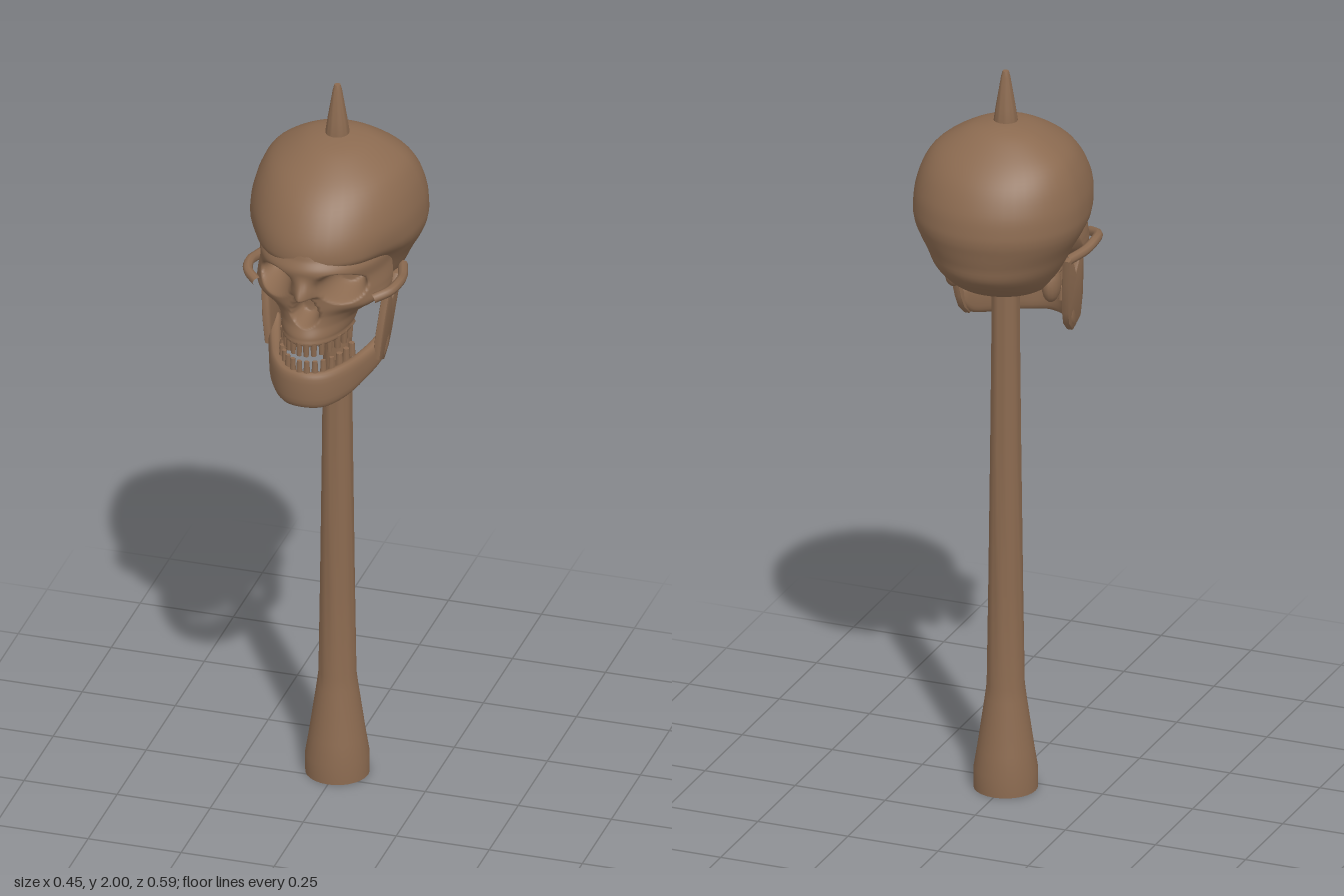
import * as THREE from 'three';
import { mergeVertices, toCreasedNormals } from 'three/addons/utils/BufferGeometryUtils.js';
import { ParametricGeometry } from 'three/addons/geometries/ParametricGeometry.js';

const bone = new THREE.MeshStandardMaterial({ color: 0x8b6a50 });
bone.name = 'brownBone';

function add(parent, name, geometry) {
  const mesh = new THREE.Mesh(geometry, bone);
  mesh.name = name;
  parent.add(mesh);
  return mesh;
}

// Smooth interpolation through the rows of a small table, t from 0 to 1
function sample(rows, t) {
  const s = t * (rows.length - 1);
  const i = Math.min(Math.floor(s), rows.length - 2);
  const f = s - i;
  const row = k => rows[Math.max(0, Math.min(rows.length - 1, k))];
  return row(i).map((b, c) => {
    const a = row(i - 1)[c], d = row(i + 1)[c], e = row(i + 2)[c];
    return b + 0.5 * f * (d - a + f * (2 * a - 5 * b + 4 * d - e + f * (3 * (b - d) + e - a)));
  });
}

function smoothSurface(fn, slices, stacks) {
  const g = new ParametricGeometry(fn, slices, stacks);
  g.deleteAttribute('uv');
  g.deleteAttribute('normal');
  const merged = mergeVertices(g, 1e-5);
  merged.computeVertexNormals();
  return merged;
}

// Stacked horizontal sections: [y, back z, front z, half width, z of widest point]
function loft(rows, slices, stacks, shape) {
  return smoothSurface((u, v, p) => {
    const [y, zb, zf, hw, zc] = sample(rows, v);
    const a = (u % 1) * Math.PI * 2, c = Math.cos(a);
    p.set(hw * Math.sin(a), y, zc + c * (c > 0 ? zf - zc : zc - zb));
    shape(p, c);
  }, slices, stacks);
}

const bell = d => Math.exp(-d * d);
const step = THREE.MathUtils.smoothstep;

function lathe(points) {
  const g = new THREE.LatheGeometry(points.map(([r, y]) => new THREE.Vector2(r, y)), 28);
  return toCreasedNormals(g, 0.6);
}

const CRANIUM = [
  [1.41, -0.06, -0.06, 0, -0.06],
  [1.415, -0.13, 0.03, 0.08, -0.06],
  [1.43, -0.19, 0.07, 0.125, -0.07],
  [1.49, -0.265, 0.09, 0.165, -0.08],
  [1.54, -0.282, 0.12, 0.19, -0.08],
  [1.58, -0.292, 0.165, 0.212, -0.08],
  [1.61, -0.298, 0.235, 0.223, -0.08],
  [1.64, -0.297, 0.245, 0.226, -0.08],
  [1.69, -0.286, 0.228, 0.222, -0.08],
  [1.75, -0.255, 0.187, 0.204, -0.08],
  [1.80, -0.208, 0.13, 0.17, -0.075],
  [1.845, -0.145, 0.05, 0.1, -0.07],
  [1.862, -0.1, -0.02, 0.04, -0.065],
  [1.865, -0.06, -0.06, 0, -0.06],
];

const FACE = [
  [1.388, 0.15, 0.15, 0, 0.15],
  [1.39, 0.08, 0.25, 0.084, 0.1],
  [1.41, 0.08, 0.258, 0.092, 0.1],
  [1.44, 0.06, 0.245, 0.105, 0.09],
  [1.465, 0.05, 0.238, 0.14, 0.07],
  [1.49, 0.03, 0.238, 0.172, 0.06],
  [1.52, 0.02, 0.24, 0.176, 0.04],
  [1.56, 0, 0.245, 0.17, 0.03],
  [1.6, 0, 0.262, 0.168, 0.03],
  [1.63, 0, 0.25, 0.145, 0.03],
  [1.67, 0, 0.22, 0.1, 0.03],
  [1.68, 0.1, 0.1, 0, 0.1],
];

// Lower jaw, chin to angle: [x, lower y, upper y, z]
const JAW = [
  [0, 1.215, 1.315, 0.253],
  [0.05, 1.215, 1.315, 0.236],
  [0.09, 1.226, 1.32, 0.185],
  [0.115, 1.242, 1.322, 0.12],
  [0.138, 1.265, 1.335, 0.05],
  [0.148, 1.295, 1.36, 0.01],
];

// Outline of the jaw's rising branch: [z, y]
const RAMUS = [
  [0.085, 1.29], [0.085, 1.36], [0.07, 1.43], [0.058, 1.485], [0.042, 1.48], [0.02, 1.435],
  [-0.015, 1.49], [-0.04, 1.49], [-0.026, 1.42], [-0.005, 1.33], [0.01, 1.295], [0.04, 1.268],
];

function jawBody() {
  const full = [...JAW.slice(1).reverse().map(([x, ...r]) => [-x, ...r]), ...JAW];
  return smoothSurface((u, v, p) => {
    const [x, lo, hi, z] = sample(full, u);
    const [x0, , , z0] = sample(full, Math.max(0, u - 0.01));
    const [x1, , , z1] = sample(full, Math.min(1, u + 0.01));
    const len = Math.hypot(x1 - x0, z1 - z0);
    // rounded section that closes at both ends
    const end = Math.sqrt(Math.max(0, 1 - Math.abs(2 * u - 1) ** 16));
    const a = (v % 1) * Math.PI * 2;
    const round = w => Math.sign(w) * Math.abs(w) ** 0.7;
    const out = 0.017 * end * round(Math.cos(a));
    p.set(x - out * (z1 - z0) / len, (lo + hi) / 2 + end * (hi - lo) / 2 * round(Math.sin(a)),
      z + out * (x1 - x0) / len);
  }, 60, 20);
}

function ramus(side) {
  const shape = new THREE.Shape(RAMUS.map(([z, y]) => new THREE.Vector2(z, y)));
  const g = new THREE.ExtrudeGeometry(shape, {
    depth: 0.01, bevelEnabled: true, bevelThickness: 0.005, bevelSize: 0.004, bevelOffset: -0.002, bevelSegments: 2,
  });
  g.translate(0, 0, -0.005).rotateY(-Math.PI / 2);
  // lean outwards towards the joint
  const p = g.attributes.position;
  for (let i = 0; i < p.count; i++) p.setX(i, p.getX(i) + side * (0.146 + (p.getY(i) - 1.3) * 0.1));
  return toCreasedNormals(g, 0.7);
}

function toothRow(name, yCentre, height, halfWidth, front, flip) {
  const row = new THREE.Group();
  row.name = name;
  const tooth = new THREE.CylinderGeometry(0.0085, 0.0065, height, 8, 2);
  for (let i = 0; i < 14; i++) {
    const a = (i - 6.5) / 6.5 * 1.45;
    const back = Math.abs(a) > 0.8;
    const m = add(row, 'tooth', tooth);
    m.position.set(halfWidth * Math.sin(a), yCentre, 0.1 + (front - 0.1) * Math.cos(a));
    m.rotation.set(0, a, flip ? Math.PI : 0);
    m.scale.set(back ? 1.2 : 1.05, 1, back ? 1.25 : 0.8);
  }
  return row;
}

export function createModel() {
  const model = new THREE.Group();
  model.name = 'skullOnPole';

  // Pole with flared foot, and the spike above the crown
  add(model, 'pole', lathe([
    [0, 0], [0.083, 0], [0.083, 0.055], [0.074, 0.11], [0.054, 0.25], [0.049, 0.29],
    [0.045, 0.55], [0.04, 0.95], [0.037, 1.25], [0.036, 1.46], [0, 1.46],
  ])).position.z = -0.045;
  add(model, 'spike', lathe([
    [0, 1.8], [0.031, 1.8], [0.031, 1.865], [0.026, 1.9], [0.012, 1.985], [0.008, 2], [0, 2],
  ])).position.z = -0.045;

  // Braincase, hollowed at the temples
  add(model, 'cranium', loft(CRANIUM, 48, 60, p => {
    p.x *= 1 - 0.1 * bell((p.z - 0.12) / 0.07) * bell((p.y - 1.57) / 0.07);
  }));

  // Face with eye sockets, nasal bone and nose opening
  add(model, 'face', loft(FACE, 128, 120, (p, c) => {
    if (c <= 0) return;
    const x = Math.abs(p.x), y = p.y;
    const eye = Math.hypot((x - 0.088) / 0.056, (y - 1.552 + (x - 0.088) * 0.2) / 0.047);
    const noseWidth = 0.04 - 0.3 * Math.max(0, y - 1.465);
    const nose = Math.hypot(x / Math.max(noseWidth, 0.012), (y - 1.484) / 0.046);
    const bridge = bell(x / 0.024) * step(y, 1.524, 1.536) * (1 - step(y, 1.535, 1.6));
    const hollow = bell((x - 0.1) / 0.035) * bell((y - 1.46) / 0.025);
    p.z += 0.05 * bridge - 0.09 * (1 - step(eye, 0.45, 1.05)) - 0.06 * (1 - step(nose, 0.6, 1.05)) - 0.015 * hollow;
  }));

  for (const side of [1, -1]) {
    // Cheek arches
    const path = new THREE.CatmullRomCurve3([
      [0.155, 1.5, 0.15], [0.19, 1.51, 0.115], [0.2, 1.513, 0.07], [0.195, 1.505, 0.02], [0.175, 1.5, -0.05],
    ].map(([x, y, z]) => new THREE.Vector3(side * x, y, z)));
    add(model, 'cheekArch', new THREE.TubeGeometry(path, 20, 0.013, 8));

    // Bony knobs behind the jaw joint
    const knob = add(model, 'mastoid', new THREE.SphereGeometry(1, 14, 10));
    knob.scale.set(0.024, 0.05, 0.036);
    knob.position.set(side * 0.135, 1.435, -0.065);

    add(model, 'jawBranch', ramus(side));
  }

  add(model, 'lowerJaw', jawBody());
  model.add(toothRow('upperTeeth', 1.382, 0.038, 0.084, 0.256, false));
  model.add(toothRow('lowerTeeth', 1.328, 0.036, 0.09, 0.252, true));
  return model;
}
